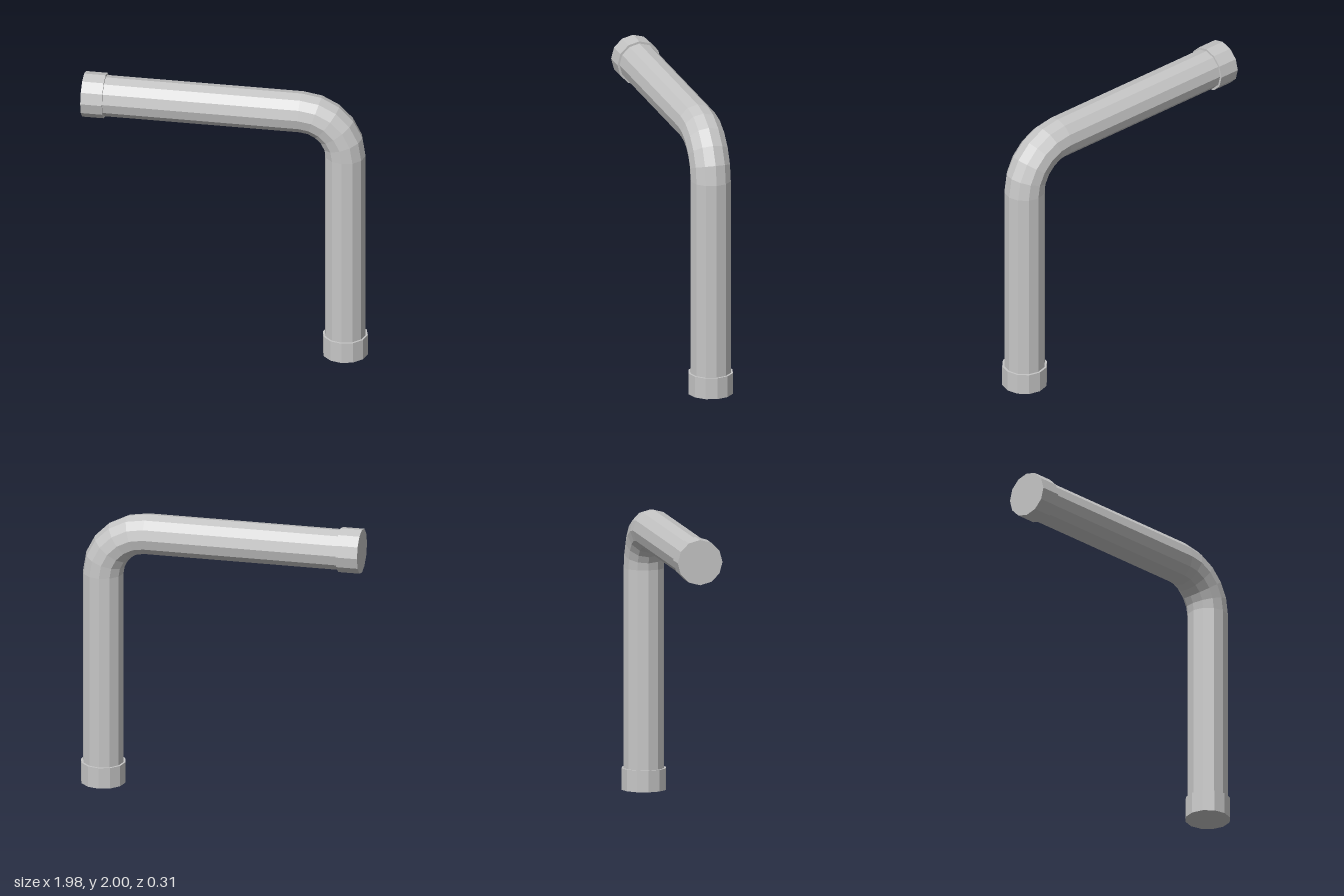
import * as THREE from 'three';

const SIDES = 12;
const TUBE_R = 0.142;
const COLLAR_R = 0.157;
const COLLAR_LEN = 0.15;
const BEND_R = 0.305;
const BEND_STEPS = 5;
const END_X = -0.988;              // closed end of the horizontal run
const AXIS_X = 0.988 - COLLAR_R;   // axis of the vertical run
const AXIS_Y = 2 - COLLAR_R;       // axis of the horizontal run

export function createModel() {
  const group = new THREE.Group();
  const pipeGrey = new THREE.MeshStandardMaterial({ color: 0xc6c6c6 });
  pipeGrey.name = 'pipe grey';

  // Adds a part with one normal per facet
  function add(name, geometry) {
    const faceted = geometry.toNonIndexed();
    faceted.computeVertexNormals();
    const mesh = new THREE.Mesh(faceted, pipeGrey);
    mesh.name = name;
    group.add(mesh);
  }

  // Straight cylinders along y and along x
  function upright(radius, y0, y1, open) {
    return new THREE.CylinderGeometry(radius, radius, y1 - y0, SIDES, 1, open)
      .translate(AXIS_X, (y0 + y1) / 2, 0);
  }
  function level(radius, x0, x1, open) {
    return new THREE.CylinderGeometry(radius, radius, x1 - x0, SIDES, 1, open)
      .rotateZ(Math.PI / 2)
      .translate((x0 + x1) / 2, AXIS_Y, 0);
  }

  const bendX = AXIS_X - BEND_R;
  const bendY = AXIS_Y - BEND_R;

  // Pipe runs and the quarter bend joining them
  add('verticalPipe', upright(TUBE_R, COLLAR_LEN, bendY, true));
  add('horizontalPipe', level(TUBE_R, END_X + COLLAR_LEN, bendX, true));
  add('elbow', new THREE.TorusGeometry(BEND_R, TUBE_R, SIDES, BEND_STEPS, Math.PI / 2)
    .translate(bendX, bendY, 0));

  // Closed collars on both ends
  add('bottomCollar', upright(COLLAR_R, 0, COLLAR_LEN, false));
  add('sideCollar', level(COLLAR_R, END_X, END_X + COLLAR_LEN, false));

  return group;
}
